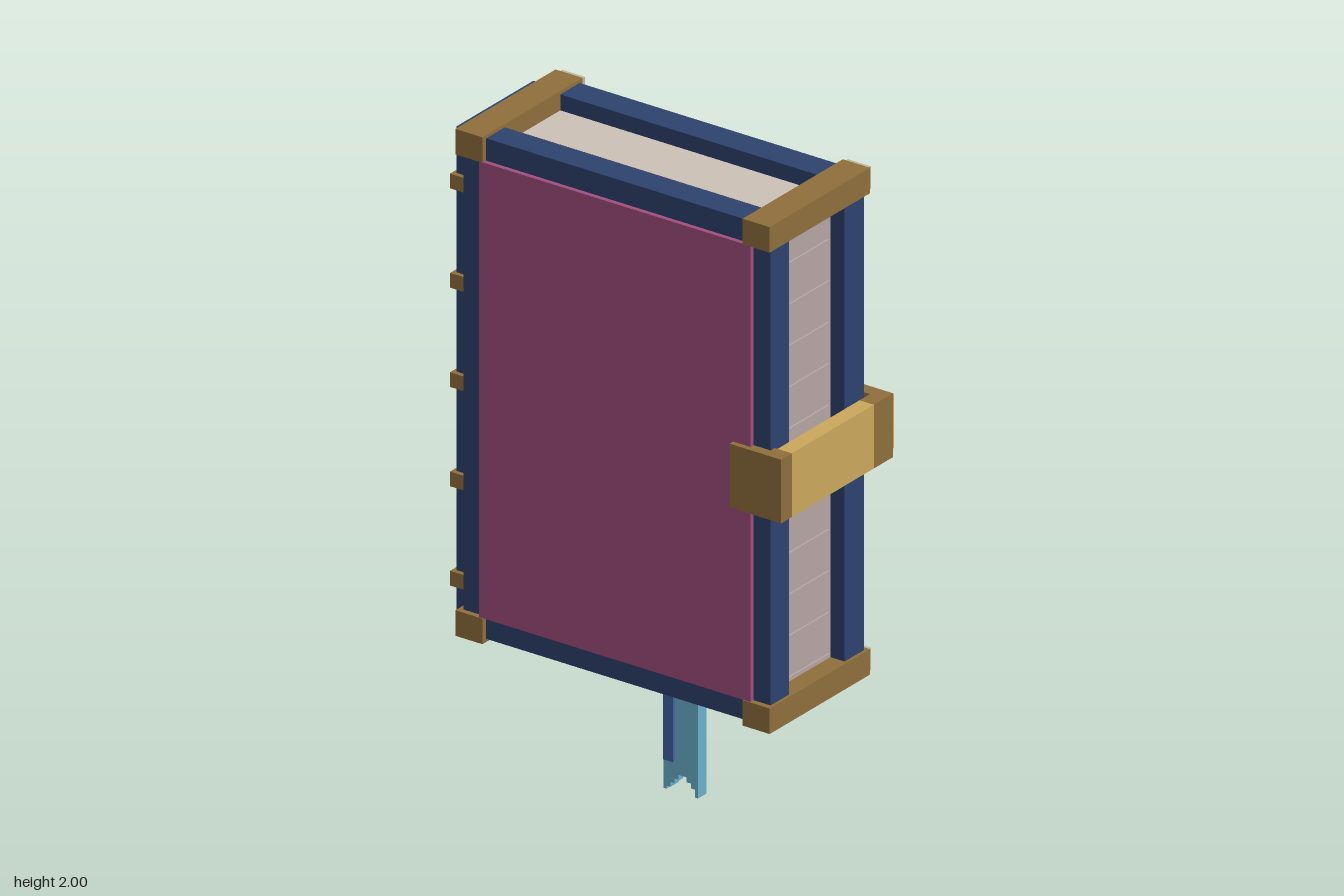
import * as THREE from 'three';

const mat = (name, color) => {
  const m = new THREE.MeshStandardMaterial({ color });
  m.name = name;
  return m;
};

export function createModel() {
  const navy = mat('navy leather', 0x2d426d);
  const plum = mat('plum panel', 0xa04e7d);
  const pink = mat('pink panel', 0xcb699d);
  const brown = mat('brown metal', 0x8f6f3c);
  const gold = mat('gold', 0xcaa85c);
  const pale = mat('pale metal', 0xbfb592);
  const cream = mat('page top', 0xcbc1b5);
  const page = mat('page edge', 0xb5a5a3);
  const cyan = mat('ribbon', 0x6cb1cc);
  const blue = mat('blue trim', 0x4164a4);

  const book = new THREE.Group();
  book.name = 'book';

  // Box given by its minimum and maximum on each axis
  const box = (name, m, x0, x1, y0, y1, z0, z1, parent = book) => {
    const mesh = new THREE.Mesh(new THREE.BoxGeometry(x1 - x0, y1 - y0, z1 - z0), m);
    mesh.position.set((x0 + x1) / 2, (y0 + y1) / 2, (z0 + z1) / 2);
    mesh.name = name;
    parent.add(mesh);
    return mesh;
  };
  const group = (name) => {
    const g = new THREE.Group();
    g.name = name;
    book.add(g);
    return g;
  };

  // Replaces sloping edges of a closed outline with small stair steps
  const stairs = (pts, step = 0.022) => {
    const out = [];
    pts.forEach(([x0, y0], i) => {
      const [x1, y1] = pts[(i + 1) % pts.length];
      const dx = x1 - x0, dy = y1 - y0;
      out.push(new THREE.Vector2(x0, y0));
      if (Math.abs(dx) < 1e-6 || Math.abs(dy) < 1e-6) return;
      const n = Math.max(1, Math.round(Math.max(Math.abs(dx), Math.abs(dy)) / step));
      for (let k = 0; k < n; k++) {
        out.push(new THREE.Vector2(x0 + dx * k / n, y0 + dy * (k + 1) / n));
        if (k < n - 1) out.push(new THREE.Vector2(x0 + dx * (k + 1) / n, y0 + dy * (k + 1) / n));
      }
    });
    return new THREE.Shape(out);
  };
  const slab = (name, m, shape, z0, z1) => {
    const geo = new THREE.ExtrudeGeometry(shape, { depth: z1 - z0, bevelEnabled: false });
    const mesh = new THREE.Mesh(geo, m);
    mesh.position.z = z0;
    mesh.name = name;
    book.add(mesh);
  };

  // Covers and their inset panels
  box('frontCover', navy, -0.535, 0.54, 0.42, 1.99, 0.175, 0.265);
  box('backCover', navy, -0.535, 0.54, 0.42, 1.99, -0.185, -0.092);
  box('frontPanel', plum, -0.47, 0.48, 0.49, 1.92, 0.26, 0.28);
  box('backPanel', pink, -0.47, 0.48, 0.49, 1.92, -0.21, -0.18);

  // Page block with cream top and grooved fore edge
  const pages = box('pages', page, -0.53, 0.49, 0.47, 1.94, -0.092, 0.175);
  pages.material = [page, page, cream, page, page, page];
  for (let i = 0; i < 11; i++) {
    const y = 1.803 - i * 0.13;
    box('pageLine', page, 0.485, 0.496, y - 0.004, y + 0.004, -0.08, 0.165);
  }

  // Spine, raised back strip and bands
  box('spine', navy, -0.588, -0.53, 0.44, 1.975, -0.145, 0.225);
  box('spineTrim', blue, -0.597, -0.585, 0.47, 1.945, -0.1, -0.075);
  for (let i = 0; i < 5; i++) {
    const y = 1.806 - i * 0.3115;
    box('spineBand', brown, -0.6, -0.53, y - 0.023, y + 0.023, -0.16, 0.24);
  }

  // Corner bars with pale caps on the back
  for (const s of [-1, 1]) {
    for (const y of [0.41, 1.92]) {
      const a = s * 0.55, b = s * 0.455;
      box('cornerBar', brown, Math.min(a, b), Math.max(a, b), y, y + 0.08, -0.2, 0.283);
      box('cornerCap', pale, s * 0.5 - 0.04, s * 0.5 + 0.04, y + 0.005, y + 0.075, -0.218, -0.2);
    }
  }

  // Clasp wrapping the fore edge
  const clasp = group('clasp');
  box('claspFront', brown, 0.42, 0.6, 1.09, 1.29, 0.245, 0.297, clasp);
  box('claspSide', gold, 0.55, 0.6, 1.09, 1.29, -0.15, 0.245, clasp);
  box('claspReturn', brown, 0.55, 0.6, 1.09, 1.29, -0.2, -0.15, clasp);
  box('claspBack', brown, 0.355, 0.6, 1.09, 1.29, -0.243, -0.2, clasp);
  box('claspPlate', gold, 0.367, 0.585, 1.105, 1.275, -0.268, -0.243, clasp);

  // Paw emblem on the clasp
  const paw = group('paw');
  const pad = (x, y, w, h) =>
    box('pawPad', pale, x - w / 2, x + w / 2, y - h / 2, y + h / 2, -0.284, -0.268, paw);
  pad(0.472, 1.163, 0.056, 0.036);
  pad(0.472, 1.14, 0.08, 0.026);
  for (const s of [-1, 1]) {
    pad(0.472 + s * 0.056, 1.188, 0.026, 0.034);
    pad(0.472 + s * 0.022, 1.222, 0.026, 0.036);
  }

  // Thin border frame on the back
  const frame = group('borderFrame');
  for (const s of [-1, 1]) {
    const x = s * 0.42, y = 1.2 + s * 0.668;
    box('frameSide', gold, x - 0.013, x + 0.013, 0.52, 1.88, -0.222, -0.21, frame);
    box('frameRail', gold, -0.407, 0.407, y - 0.013, y + 0.013, -0.222, -0.21, frame);
  }

  // Eared emblem: navy plate with an open gold rim
  const outer = [[0.1, 1.5], [0.1, 1.56], [0.21, 1.66], [0.25, 1.66],
    [0.335, 1.43], [0.335, 0.99], [0.19, 0.83]];
  const inner = [[0.15, 0.91], [0.255, 1.02], [0.255, 1.42], [0.21, 1.53], [0.155, 1.47]];
  const flip = (pts) => pts.map(([x, y]) => [-x, y]).reverse();
  slab('emblemPlate', navy, stairs([...outer.slice(1), ...flip(outer.slice(1))]), -0.256, -0.21);
  slab('emblemRim', gold, stairs([...outer, ...flip(outer), ...flip(inner), ...inner]), -0.297, -0.256);

  // Four-pointed sparkles
  const sparkle = (x, y, z, r) => {
    const g = group('sparkle');
    box('sparkleUpright', pale, x - 0.009, x + 0.009, y - r, y + r, z - 0.014, z, g);
    for (const s of [-1, 1]) {
      const a = x + s * 0.009, b = x + s * r;
      box('sparkleArm', pale, Math.min(a, b), Math.max(a, b), y - 0.009, y + 0.009, z - 0.014, z, g);
    }
    box('sparkleCore', pale, x - 0.013, x + 0.013, y - 0.013, y + 0.013, z - 0.024, z - 0.01, g);
  };
  sparkle(0.315, 1.77, -0.21, 0.034);
  sparkle(-0.33, 0.66, -0.21, 0.034);
  sparkle(0.07, 0.18, 0.01, 0.03);

  // Ribbon bookmark with a stepped swallowtail
  slab('ribbon', cyan, stairs([[0.01, 0.5], [0.13, 0.5], [0.13, 0], [0.12, 0],
    [0.12, 0.01], [0.075, 0.055], [0.062, 0.055], [0.02, 0.01], [0.02, 0], [0.01, 0]], 0.015), 0.01, 0.05);
  box('ribbonStripe', blue, 0.015, 0.05, 0.095, 0.5, 0.05, 0.06);

  return book;
}
